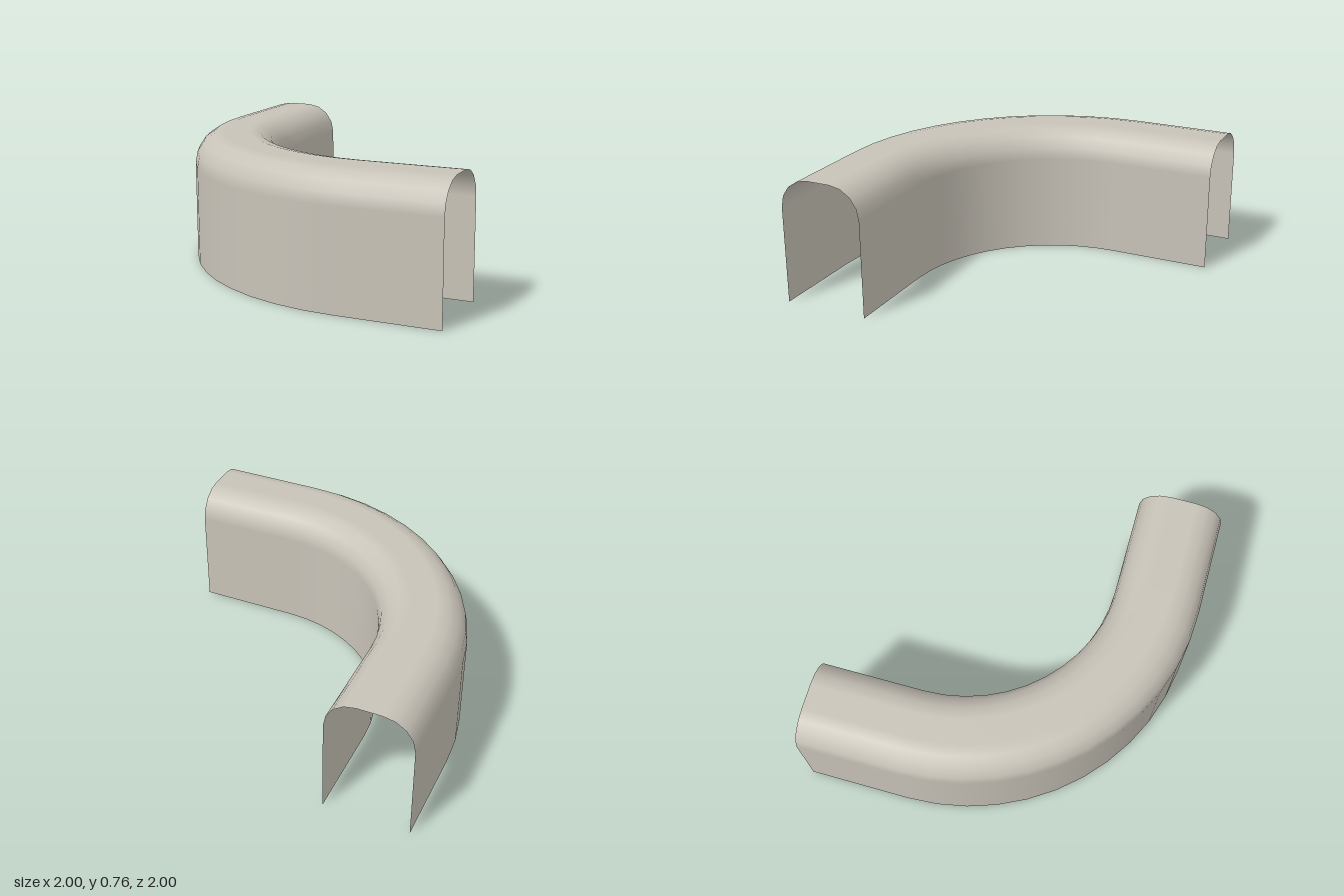
import * as THREE from 'three';

const OUTER = 1.4, INNER = 0.895, HEIGHT = 0.76, ROUND = 0.18; // bend radii, arch size
const CENTRE = 0.4, STRAIGHT = 0.6, BEND_STEPS = 12, ROUND_STEPS = 4;

// Arch cross-section: radius, height and outward normal, from outer foot to inner foot
function archProfile() {
  const points = [{ r: OUTER, y: 0, nr: 1, ny: 0 }];
  for (const [r, start] of [[OUTER - ROUND, 0], [INNER + ROUND, Math.PI / 2]]) {
    for (let k = 0; k <= ROUND_STEPS; k++) {
      const t = start + (k / ROUND_STEPS) * Math.PI / 2;
      const nr = Math.cos(t), ny = Math.sin(t);
      points.push({ r: r + ROUND * nr, y: HEIGHT - ROUND + ROUND * ny, nr, ny });
    }
  }
  points.push({ r: INNER, y: 0, nr: -1, ny: 0 });
  return points;
}

// Stations along the path: a straight run, a quarter bend, a straight run
function pathStations() {
  const stations = [{ a: 0, dx: 0, dz: -STRAIGHT }];
  for (let i = 0; i <= BEND_STEPS; i++) {
    stations.push({ a: (i / BEND_STEPS) * Math.PI / 2, dx: 0, dz: 0 });
  }
  stations.push({ a: Math.PI / 2, dx: STRAIGHT, dz: 0 });
  return stations;
}

function sweepArch() {
  const profile = archProfile(), stations = pathStations();
  const positions = [], normals = [], indices = [], n = profile.length;
  stations.forEach(({ a, dx, dz }, i) => {
    const ux = -Math.cos(a), uz = Math.sin(a);
    profile.forEach(({ r, y, nr, ny }, j) => {
      positions.push(CENTRE + dx + r * ux, y, -CENTRE + dz + r * uz);
      normals.push(nr * ux, ny, nr * uz);
      if (i < stations.length - 1 && j < n - 1) {
        const p = i * n + j;
        indices.push(p, p + n, p + 1, p + 1, p + n, p + n + 1);
      }
    });
  });
  const geometry = new THREE.BufferGeometry();
  geometry.setAttribute('position', new THREE.Float32BufferAttribute(positions, 3));
  geometry.setAttribute('normal', new THREE.Float32BufferAttribute(normals, 3));
  geometry.setIndex(indices);
  return geometry;
}

export function createModel() {
  const group = new THREE.Group();
  group.name = 'curvedArchCover';
  const material = new THREE.MeshStandardMaterial({ color: 0xc8c3b8, side: THREE.DoubleSide });
  material.name = 'warm grey';
  // Open-bottomed thin shell
  const shell = new THREE.Mesh(sweepArch(), material);
  shell.name = 'archShell';
  group.add(shell);
  return group;
}
